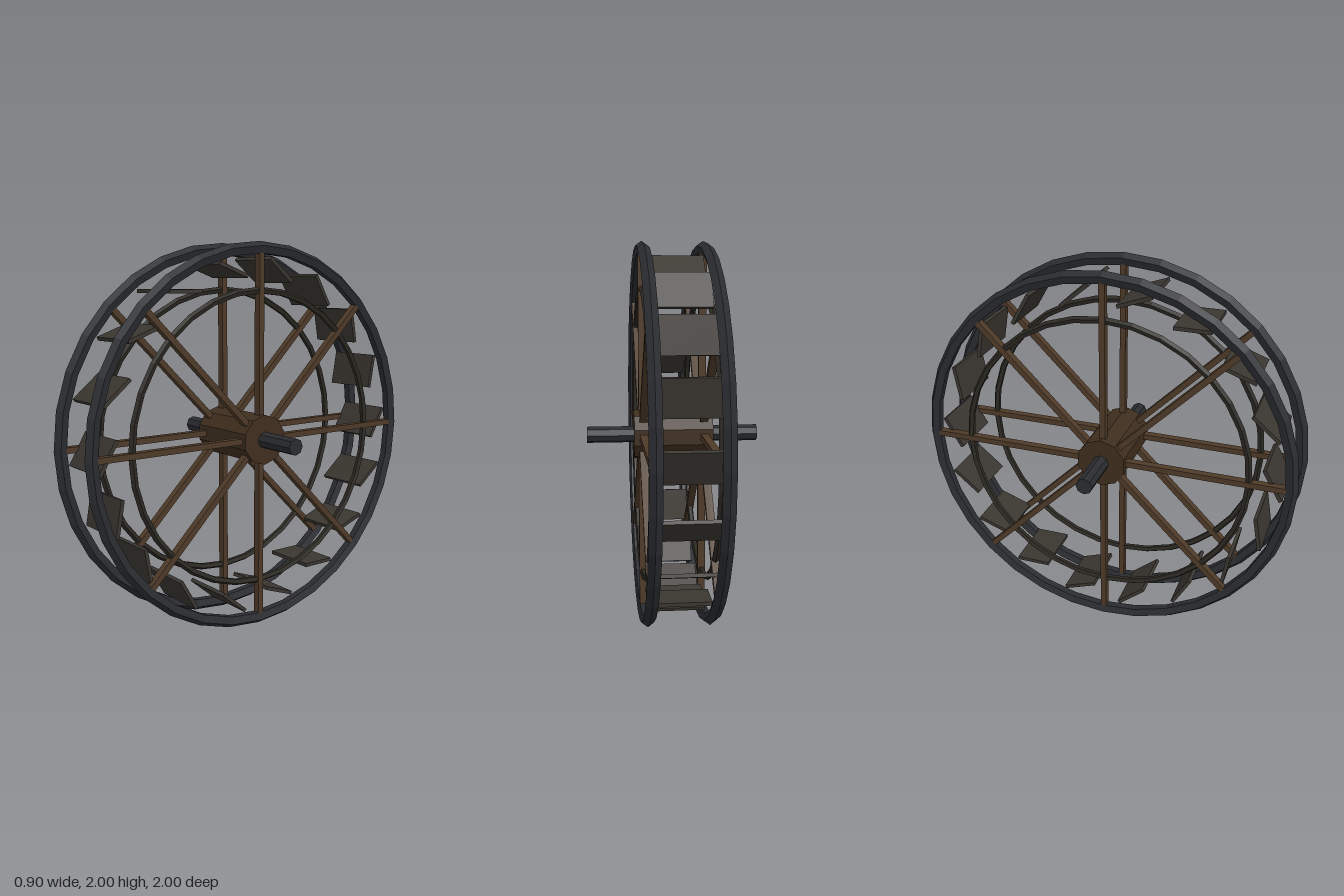
import * as THREE from 'three';

const mat = (color) => new THREE.MeshStandardMaterial({ color, flatShading: true });

export function createModel() {
  const model = new THREE.Group();
  const wheel = new THREE.Group();
  wheel.name = 'wheel';
  wheel.position.y = 1;
  model.add(wheel);

  const iron = mat(0x2a2c30);
  const darkWood = mat(0x2c2923);
  const paddleWood = mat(0x3a3630);
  const spokeWood = mat(0x4e3a28);
  const hubWood = mat(0x3f2e1e);

  const add = (name, geometry, material, parent = wheel) => {
    const mesh = new THREE.Mesh(geometry, material);
    mesh.name = name;
    parent.add(mesh);
    return mesh;
  };

  // Axle and ten-sided hub lie along x
  const axle = new THREE.CylinderGeometry(0.043, 0.043, 0.9, 8).rotateZ(Math.PI / 2);
  add('axle', axle, iron);
  const hub = new THREE.CylinderGeometry(0.13, 0.13, 0.41, 10).rotateZ(Math.PI / 2).rotateX(Math.PI / 10);
  add('hub', hub, hubWood);

  // Two matching sides: outer rim, inner ring and eight spokes
  const rim = new THREE.TorusGeometry(0.967, 0.033, 5, 32).rotateY(Math.PI / 2);
  const ring = new THREE.TorusGeometry(0.757, 0.018, 5, 32).rotateY(Math.PI / 2);
  const spoke = new THREE.BoxGeometry(0.04, 0.965, 0.03).translate(0, 0.4825, 0);
  for (const s of [-1, 1]) {
    const side = new THREE.Group();
    side.name = s > 0 ? 'leftSide' : 'rightSide';
    side.position.x = s * 0.158;
    wheel.add(side);
    add('outerRim', rim, iron, side);
    add('innerRing', ring, darkWood, side);
    for (let i = 0; i < 8; i++) {
      add('spoke', spoke, spokeWood, side).rotation.x = (i * Math.PI) / 4;
    }
  }

  // Eighteen paddles, each tilted 60 degrees from its radius
  const paddle = new THREE.BoxGeometry(0.3, 0.019, 0.185);
  for (let i = 0; i < 18; i++) {
    const a = (i * Math.PI) / 9;
    const mesh = add('paddle', paddle, paddleWood);
    mesh.position.set(0, 0.872 * Math.sin(a), -0.872 * Math.cos(a));
    mesh.rotation.x = a + Math.PI / 3;
  }
  return model;
}
